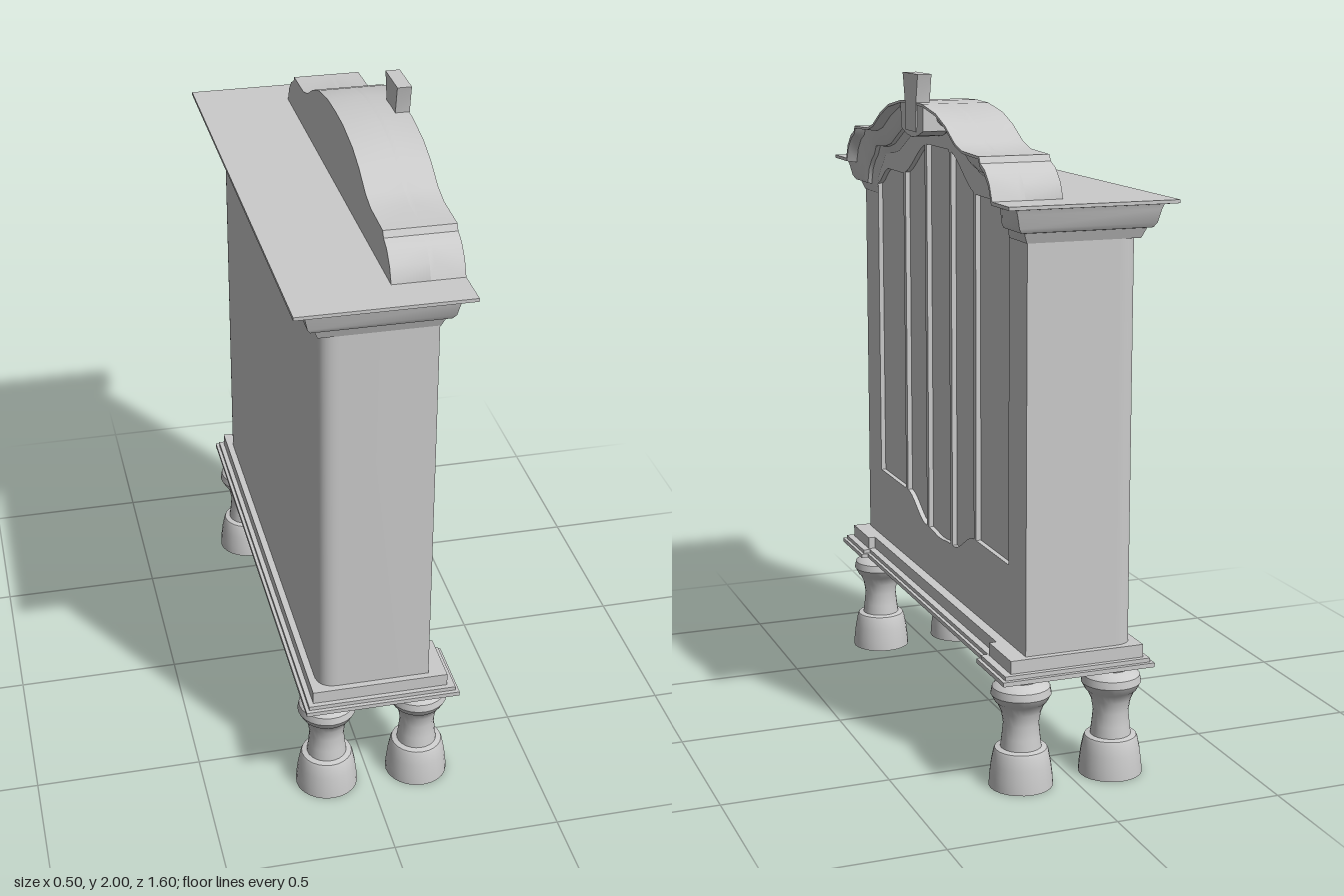
import * as THREE from 'three';
import { toCreasedNormals } from 'three/addons/utils/BufferGeometryUtils.js';

const FRONT = 0.165, BACK = -0.17, SIDE = 0.725; // wall planes of the case (x, x, +-z)
const TOP = 1.69, CORNICE_BOTTOM = 1.58;

// Half arch from the shoulder to the middle: upper and lower edge of the moulding, as [z, y]
const upper = [[0.675, 1.69], [0.655, 1.735], [0.62, 1.77], [0.585, 1.785], [0.575, 1.803], [0.44, 1.807],
  [0.38, 1.823], [0.3, 1.866], [0.22, 1.895], [0.1, 1.915], [0, 1.918]];
const lower = [[0.595, 1.58], [0.58, 1.63], [0.555, 1.66], [0.525, 1.685], [0.5, 1.717], [0.42, 1.725],
  [0.36, 1.737], [0.28, 1.775], [0.2, 1.813], [0.1, 1.83], [0, 1.812]];
const mirror = half => [...half, ...half.slice(0, -1).reverse().map(([z, y]) => [-z, y])];

export function createModel() {
  const model = new THREE.Group();
  const material = new THREE.MeshStandardMaterial({ color: 0xcccccc, side: THREE.DoubleSide });

  function add(name, geometry, parent = model) {
    const mesh = new THREE.Mesh(geometry, material);
    mesh.name = name;
    parent.add(mesh);
    return mesh;
  }
  function group(name) {
    const g = new THREE.Group();
    g.name = name;
    model.add(g);
    return g;
  }
  function box(name, [x0, x1], [y0, y1], [z0, z1], parent) {
    const mesh = add(name, new THREE.BoxGeometry(x1 - x0, y1 - y0, z1 - z0), parent);
    mesh.position.set((x0 + x1) / 2, (y0 + y1) / 2, (z0 + z1) / 2);
  }
  const toVectors = points => points.map(p => new THREE.Vector2(...p));
  // Slab with a symmetric [z, y] outline, extruded along x
  function slab(name, points, x0, x1, holes = []) {
    const shape = new THREE.Shape(toVectors(points));
    shape.holes = holes.map(h => new THREE.Path(toVectors(h)));
    const geometry = new THREE.ExtrudeGeometry(shape, { depth: x1 - x0, bevelEnabled: false });
    geometry.rotateY(Math.PI / 2);
    geometry.translate(x0, 0, 0);
    add(name, toCreasedNormals(geometry, 0.5));
  }

  // Case with rounded rear corners
  const r = 0.06, innerFront = FRONT - 0.015;
  const plan = new THREE.Shape();
  plan.moveTo(innerFront, -SIDE);
  plan.lineTo(innerFront, SIDE);
  plan.lineTo(BACK + r, SIDE);
  plan.quadraticCurveTo(BACK, SIDE, BACK, SIDE - r);
  plan.lineTo(BACK, r - SIDE);
  plan.quadraticCurveTo(BACK, -SIDE, BACK + r, -SIDE);
  const caseGeometry = new THREE.ExtrudeGeometry(plan, { depth: TOP - 0.01 - 0.4, bevelEnabled: false, curveSegments: 8 });
  caseGeometry.rotateX(-Math.PI / 2);
  caseGeometry.translate(0, 0.4, 0);
  add('case', toCreasedNormals(caseGeometry, 0.5));
  box('topBoard', [BACK, innerFront], [1.675, TOP], [-SIDE, SIDE]);

  // Door front with five sunken panels following the arch
  const ease = THREE.MathUtils.smoothstep;
  const panelTop = z => 1.78 - 0.11 * ease(Math.abs(z), 0.09, 0.34) - 0.06 * ease(Math.abs(z), 0.48, 0.6);
  const panelBottom = z => 0.56 + 0.008 * ease(Math.abs(z), 0, 0.1) + 0.072 * ease(Math.abs(z), 0.13, 0.31);
  const panels = [[-0.59, -0.327], [-0.307, -0.12], [-0.1, 0.1], [0.12, 0.307], [0.327, 0.59]].map(([a, b]) => {
    const steps = Array.from({ length: 11 }, (_, i) => a + (b - a) * i / 10);
    return [...steps.map(z => [z, panelBottom(z)]), ...steps.reverse().map(z => [z, panelTop(z)])];
  });
  const arch = mirror(upper);
  slab('doorFront', [[SIDE, 0.4], [SIDE, TOP], ...arch, [-SIDE, TOP], [-SIDE, 0.4]], innerFront, FRONT, panels);
  slab('pediment', [[0.675, 1.6], ...arch, [-0.675, 1.6]], 0.04, innerFront);

  // Cornice: one profile swept over the arch and round the sides and back
  // Each profile step is [share of the way down, projection from the wall]
  const profile = [[0, 0], [0, 0.083], [0.09, 0.083], [0.13, 0.05], [0.25, 0.045], [0.6, 0.036],
    [0.72, 0.027], [0.74, 0.014], [1, 0.002]];
  const flatY = t => TOP + (CORNICE_BOTTOM - TOP) * t;
  const corner = (wall, dx, dz) => (t, out) => [wall + dx * out, flatY(t), dz * (SIDE + out * 0.92)];
  const low = mirror(lower);
  const stations = [
    corner(FRONT, 1, 1),
    ...arch.map(([z, y], i) => (t, out) =>
      [FRONT + out, y + (low[i][1] - y) * t, z + (low[i][0] - z) * t]),
    corner(FRONT, 1, -1), corner(BACK, -1, -1), corner(BACK, -1, 1), corner(FRONT, 1, 1),
  ];
  const positions = [], index = [], rows = profile.length;
  stations.forEach((at, i) => profile.forEach(([t, out], j) => {
    positions.push(...at(t, out));
    if (i === 0 || j === 0) return;
    const d = i * rows + j, c = d - rows;
    index.push(c - 1, c, d - 1, d - 1, c, d);
  }));
  const cornice = new THREE.BufferGeometry();
  cornice.setAttribute('position', new THREE.Float32BufferAttribute(positions, 3));
  cornice.setIndex(index);
  add('cornice', toCreasedNormals(cornice, 0.6));

  // Crest block and flared keystone at the middle of the arch
  slab('crestBlock', [[0.103, 1.835], [0.103, 1.913], [0, 1.918], [-0.103, 1.913], [-0.103, 1.835],
    [-0.05, 1.818], [0, 1.812], [0.05, 1.818]], FRONT, 0.246);
  slab('keystone', [[0.045, 1.83], [0.052, 1.92], [0.066, 1.985], [0.07, 2], [-0.07, 2], [-0.066, 1.985],
    [-0.052, 1.92], [-0.045, 1.83]], 0.207, 0.25);

  // Stepped plinth, breaking forward at both ends
  const plinth = group('plinth');
  const layers = [[0.345, 0.358, -0.215, 0.25, 0.772], [0.358, 0.37, -0.205, 0.24, 0.76], [0.37, 0.408, -0.19, 0.218, 0.745]];
  for (const [y0, y1, x0, x1, z] of layers) {
    box('plinthLayer', [x0, x1 - 0.022], [y0, y1], [-z, z], plinth);
    const inner = 0.575 - (z - 0.745) * 0.7;
    for (const s of [-1, 1]) {
      box('plinthBreak', [x1 - 0.022, x1], [y0, y1], s > 0 ? [inner, z] : [-z, -inner], plinth);
    }
  }

  // Four turned feet
  const turning = toVectors([[0, 0], [0.094, 0], [0.092, 0.03], [0.087, 0.07], [0.08, 0.105], [0.076, 0.114], [0.06, 0.118],
    [0.056, 0.15], [0.052, 0.19], [0.058, 0.225], [0.069, 0.25], [0.076, 0.256], [0.088, 0.278], [0.084, 0.3],
    [0.07, 0.312], [0.052, 0.318], [0.055, 0.328], [0.078, 0.34], [0.08, 0.346]]);
  const footGeometry = toCreasedNormals(new THREE.LatheGeometry(turning, 24), 0.6);
  const feet = group('feet');
  for (const x of [-0.13, 0.152]) {
    for (const z of [-0.658, 0.658]) add('foot', footGeometry, feet).position.set(x, 0, z);
  }
  return model;
}
